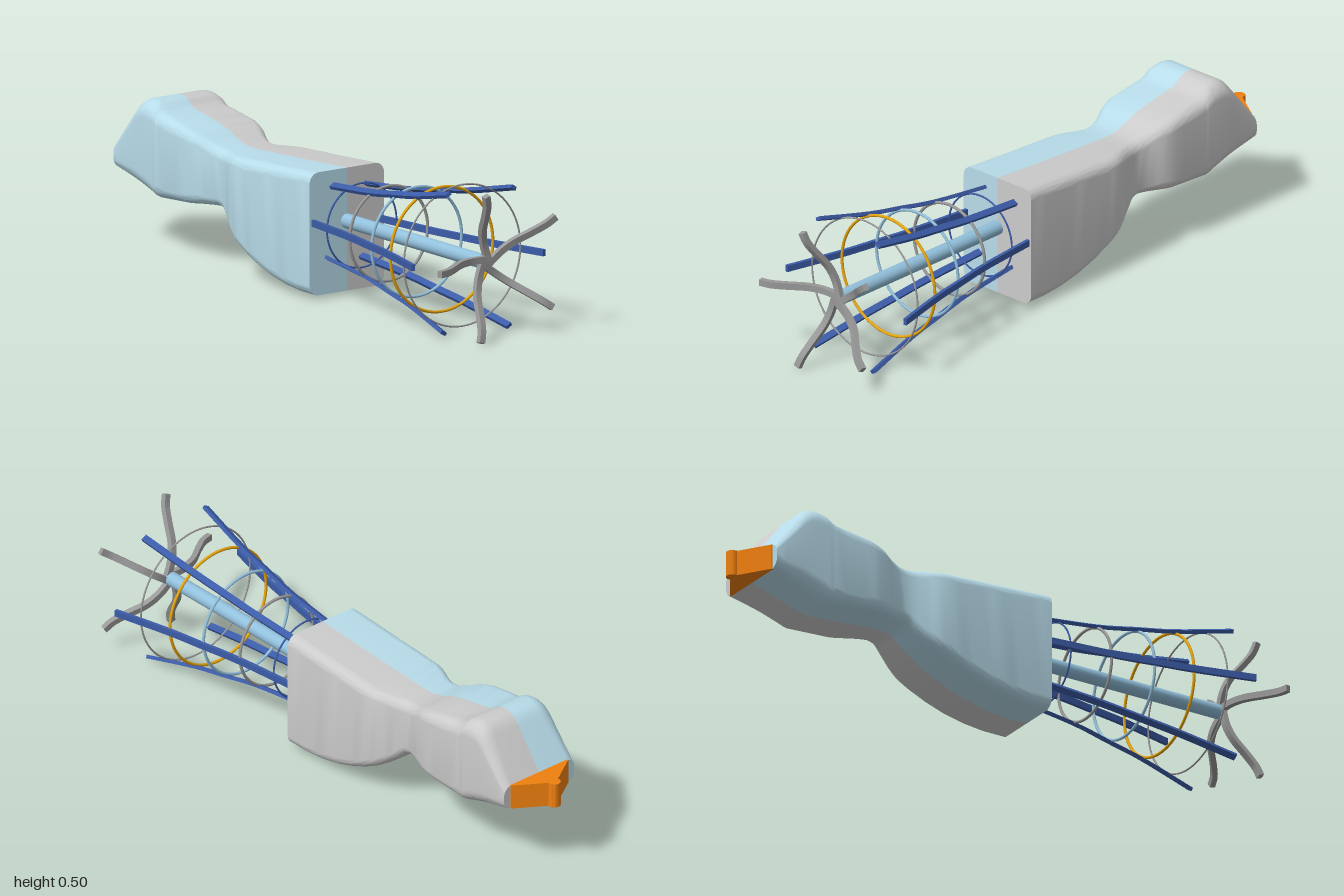
import * as THREE from 'three';
import { toCreasedNormals } from 'three/addons/utils/BufferGeometryUtils.js';

const AXIS_Y = 0.245;
const mat = (color) => new THREE.MeshStandardMaterial({ color });
const grey = mat(0xcccccc), paleBlue = mat(0xb8dcea), skyBlue = mat(0x92c0dc);
const navy = mat(0x3c5ca8), steel = mat(0x999999), gold = mat(0xe5a510), orange = mat(0xf08010);

// Body stations from front to back: z, top, bottom, corner radius
const STATIONS = [
  [0.15, 0.42, 0.015, 0.035], [0.07, 0.415, 0.015, 0.035], [0, 0.411, 0.022, 0.035],
  [-0.08, 0.406, 0.038, 0.035], [-0.15, 0.403, 0.061, 0.035], [-0.21, 0.399, 0.087, 0.035],
  [-0.26, 0.397, 0.113, 0.035], [-0.3, 0.395, 0.138, 0.035], [-0.34, 0.393, 0.168, 0.035],
  [-0.37, 0.393, 0.195, 0.035], [-0.4, 0.396, 0.203, 0.035], [-0.44, 0.408, 0.202, 0.035],
  [-0.48, 0.426, 0.2, 0.035], [-0.53, 0.44, 0.195, 0.035], [-0.6, 0.453, 0.189, 0.04],
  [-0.67, 0.465, 0.183, 0.045], [-0.685, 0.474, 0.182, 0.045], [-0.7, 0.487, 0.182, 0.05],
  [-0.72, 0.495, 0.187, 0.055], [-0.745, 0.498, 0.195, 0.055], [-0.77, 0.493, 0.203, 0.055],
  [-0.79, 0.48, 0.209, 0.055], [-0.82, 0.442, 0.219, 0.05], [-0.905, 0.33, 0.247, 0.03],
];

// Constant width with a smooth waist
function halfWidth(z) {
  const t = (z + 0.385) / 0.145;
  return 0.149 - (Math.abs(t) < 1 ? 0.037 * Math.cos(t * Math.PI / 2) ** 2 : 0);
}

// One side of the rounded-rectangle loft, with end caps
function bodyHalf(side) {
  const pos = [], index = [], SEG = 8;
  const rows = [];
  for (let k = 0; k < STATIONS.length - 1; k++) {
    for (const f of [0, 0.5]) rows.push(STATIONS[k].map((v, n) => v + (STATIONS[k + 1][n] - v) * f));
  }
  rows.push(STATIONS[STATIONS.length - 1]);
  const count = 2 * (SEG + 1) + 2;
  for (const [z, top, bottom, r] of rows) {
    const w = halfWidth(z);
    pos.push(0, top, z);
    for (let c = 0; c < 2; c++) {
      const cy = c ? bottom + r : top - r;
      for (let i = 0; i <= SEG; i++) {
        const a = Math.PI / 2 * (1 - c - i / SEG);
        pos.push(side * (w - r + r * Math.cos(a)), cy + r * Math.sin(a), z);
      }
    }
    pos.push(0, bottom, z);
  }
  const tri = (a, b, c) => (side > 0 ? index.push(a, b, c) : index.push(a, c, b));
  for (let i = 0; i < rows.length - 1; i++) {
    for (let j = 0; j < count - 1; j++) {
      const a = i * count + j, c = a + count;
      tri(a, a + 1, c);
      tri(a + 1, c + 1, c);
    }
  }
  const last = (rows.length - 1) * count;
  const centre = rows.length * count;
  for (const [z, top, bottom] of [rows[0], rows[rows.length - 1]]) pos.push(0, (top + bottom) / 2, z);
  for (let j = 0; j < count - 1; j++) {
    tri(centre, j + 1, j);
    tri(centre + 1, last + j, last + j + 1);
  }
  const g = new THREE.BufferGeometry();
  g.setAttribute('position', new THREE.Float32BufferAttribute(pos, 3));
  g.setIndex(index);
  return toCreasedNormals(g, 0.6);
}

// Flat strip following a (radius, z) curve, turned around the long axis
function radialStrip(points, thickness, angle) {
  const curve = new THREE.SplineCurve(points.map(([r, z]) => new THREE.Vector2(r, z)));
  const outer = [], inner = [], N = 20;
  for (let i = 0; i <= N; i++) {
    const p = curve.getPoint(i / N), t = curve.getTangent(i / N);
    const n = new THREE.Vector2(-t.y, t.x).multiplyScalar(thickness / 2);
    outer.push(p.clone().add(n));
    inner.unshift(p.clone().sub(n));
  }
  const shape = new THREE.Shape([...outer, ...inner]);
  let g = new THREE.ExtrudeGeometry(shape, { depth: 0.022, bevelEnabled: false });
  g.rotateX(Math.PI / 2).rotateZ(angle).translate(0, AXIS_Y, 0);
  return toCreasedNormals(g, 0.6);
}

export function createModel() {
  const model = new THREE.Group();
  const add = (name, geometry, material) => {
    const mesh = new THREE.Mesh(geometry, material);
    mesh.name = name;
    model.add(mesh);
    return mesh;
  };

  // Two-tone body
  add('bodyLeftHalf', bodyHalf(1), grey);
  add('bodyRightHalf', bodyHalf(-1), paleBlue);

  // Wedge-shaped tail with a rounded tip
  const wedge = new THREE.Shape();
  wedge.moveTo(-0.122, 0.9);
  wedge.lineTo(0.122, 0.9);
  wedge.lineTo(0.122, 0.908);
  wedge.lineTo(0.02, 0.974);
  wedge.absarc(0, 0.979, 0.021, -0.24, Math.PI + 0.24, false);
  wedge.lineTo(-0.122, 0.908);
  const tail = new THREE.ExtrudeGeometry(wedge, { depth: 0.086, bevelEnabled: false, curveSegments: 16 });
  tail.rotateX(-Math.PI / 2).translate(0, 0.246, 0);
  add('tailWedge', toCreasedNormals(tail, 0.5), orange);

  // Central shaft
  const shaft = new THREE.CylinderGeometry(0.024, 0.024, 0.76, 32);
  shaft.rotateX(Math.PI / 2).translate(0, AXIS_Y, 0.515);
  add('shaft', shaft, skyBlue);

  // Cage of six flaring bars
  const flare = [[0.135, 0.14], [0.16, 0.375], [0.187, 0.525], [0.212, 0.66], [0.262, 0.86]];
  for (let i = 0; i < 6; i++) add('cageBar', radialStrip(flare, 0.012, i * Math.PI / 3), navy);

  // Cage rings: z, outer radius, tube radius, material
  const rings = [
    [0.23, 0.142, 0.003, navy], [0.375, 0.161, 0.005, steel], [0.525, 0.185, 0.005, skyBlue],
    [0.66, 0.21, 0.005, gold], [0.77, 0.236, 0.003, steel],
  ];
  for (const [z, r, tube, material] of rings) {
    add('cageRing', new THREE.TorusGeometry(r - tube, tube, 10, 72), material).position.set(0, AXIS_Y, z);
  }

  // Five-armed claw at the front
  const arm = [[0, 0.897], [0.06, 0.897], [0.115, 0.914], [0.17, 0.952], [0.215, 0.98], [0.253, 0.99]];
  for (let i = 0; i < 5; i++) add('clawArm', radialStrip(arm, 0.018, Math.PI * (1 + 0.4 * i)), steel);

  return model;
}
